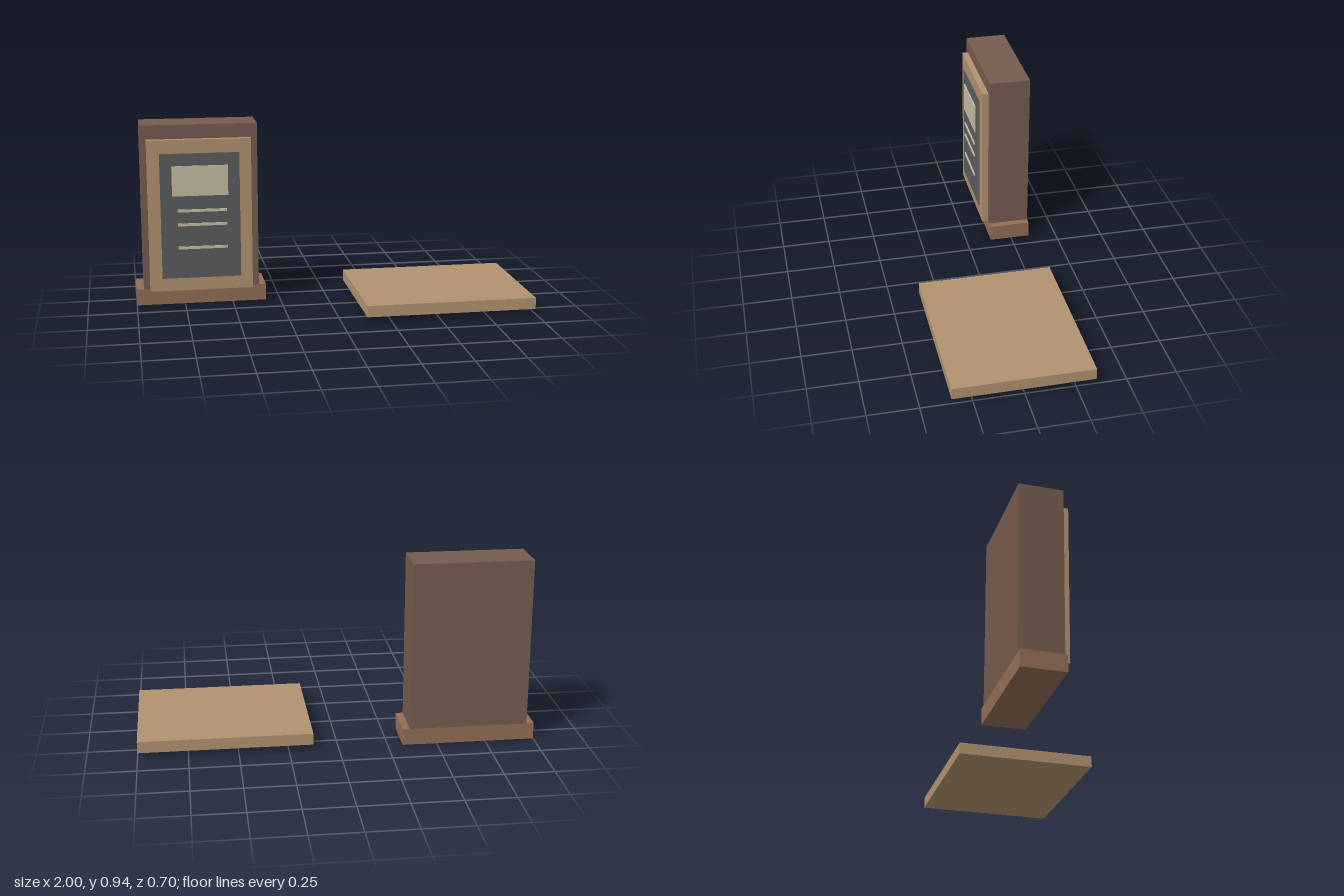
import * as THREE from 'three';

const material = (name, color) => {
  const m = new THREE.MeshStandardMaterial({ color });
  m.name = name;
  return m;
};

export function createModel() {
  const group = new THREE.Group();
  const darkWood = material('darkWood', 0x775c4f);
  const midWood = material('midWood', 0x936e57);
  const lightWood = material('lightWood', 0xb39370);
  const slate = material('slate', 0x5a5e5b);
  const cream = material('cream', 0xc8bda3);

  // Box given by its lower and upper limits on each axis
  const block = (name, mat, [x0, x1], [y0, y1], [z0, z1]) => {
    const mesh = new THREE.Mesh(new THREE.BoxGeometry(x1 - x0, y1 - y0, z1 - z0), mat);
    mesh.position.set((x0 + x1) / 2, (y0 + y1) / 2, (z0 + z1) / 2);
    mesh.name = name;
    group.add(mesh);
  };

  // Upright stand on its plinth
  const depth = [-0.35, -0.134];
  block('plinth', midWood, [-1, -0.325], [0, 0.085], depth);
  block('standBody', darkWood, [-0.962, -0.362], [0.085, 0.945], depth);

  // Front panel with a floating slate plate
  block('frontPanel', lightWood, [-0.93, -0.397], [0.08, 0.872], [-0.134, -0.102]);
  block('slatePlate', slate, [-0.866, -0.458], [0.148, 0.802], [-0.099, -0.095]);

  // Raised details on the plate
  block('pictureLabel', cream, [-0.806, -0.519], [0.583, 0.739], [-0.091, -0.085]);
  for (const y of [0.506, 0.433, 0.311]) {
    block('lineBar', cream, [-0.78, -0.527], [y - 0.007, y + 0.007], [-0.088, -0.082]);
  }

  // Separate flat board beside the stand
  block('flatBoard', lightWood, [0.127, 1], [0.026, 0.085], [-0.35, 0.35]);

  return group;
}
